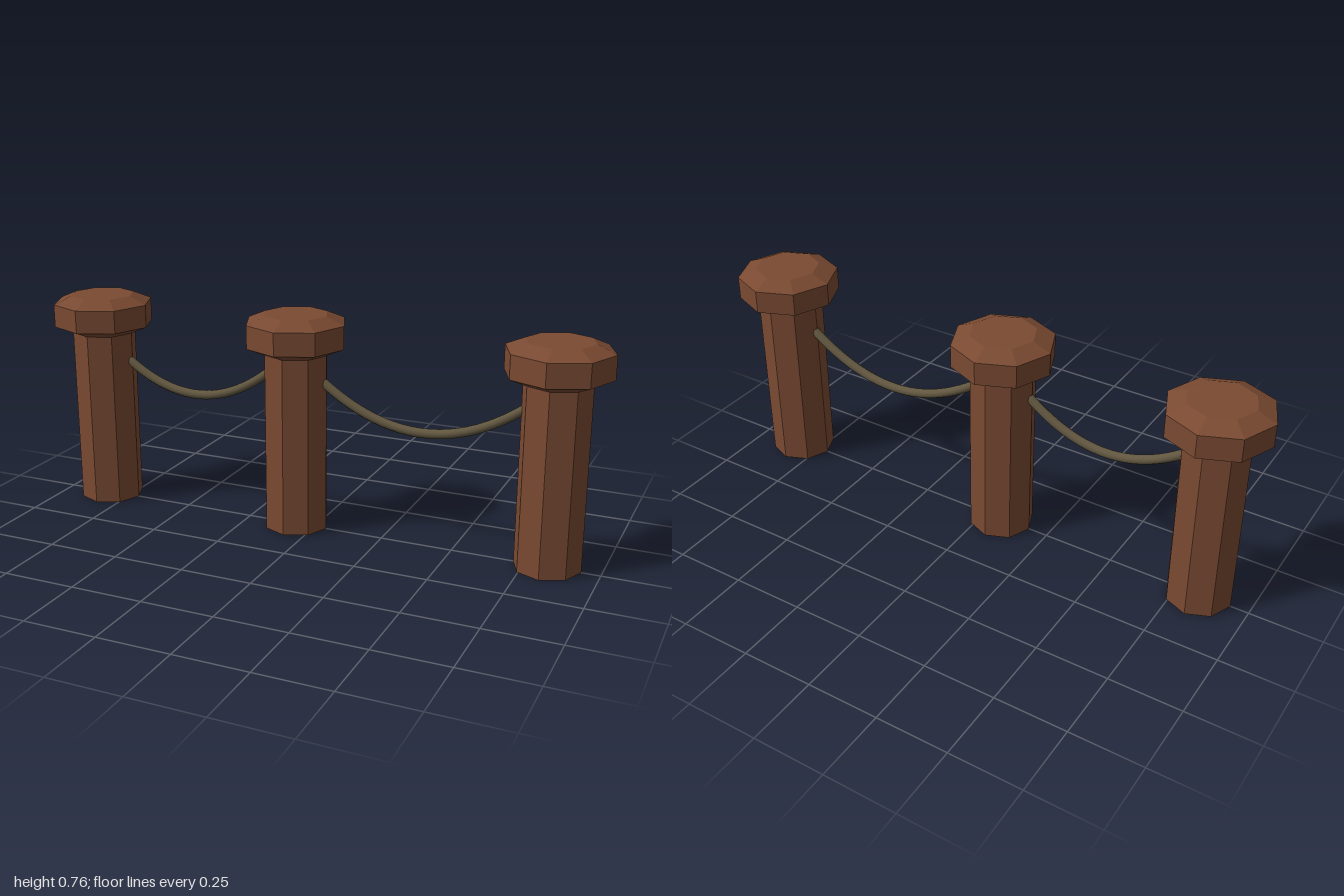
import * as THREE from 'three';

const POST_X = [-0.825, -0.068, 0.825];
const SHAFT_R = 0.112;
const CAP_R = 0.175;

export function createModel() {
  const model = new THREE.Group();
  model.name = 'ropeFence';
  const wood = new THREE.MeshStandardMaterial({ color: 0x7a4a32, flatShading: true });
  const ropeMaterial = new THREE.MeshStandardMaterial({ color: 0x625740 });

  // Octagonal shaft, corners on the x and z axes
  const shaftGeometry = new THREE.CylinderGeometry(SHAFT_R, SHAFT_R, 0.63, 8);
  shaftGeometry.translate(0, 0.315, 0);

  // Octagonal cap, bevelled above and below
  const capProfile = [
    [0, 0.623], [SHAFT_R, 0.623], [CAP_R, 0.65], [CAP_R, 0.73], [SHAFT_R, 0.757], [0, 0.757],
  ].map(([r, y]) => new THREE.Vector2(r, y));
  const capGeometry = new THREE.LatheGeometry(capProfile, 8);

  for (const x of POST_X) {
    const post = new THREE.Group();
    post.name = 'post';
    post.position.x = x;
    const shaft = new THREE.Mesh(shaftGeometry, wood);
    shaft.name = 'postShaft';
    const cap = new THREE.Mesh(capGeometry, wood);
    cap.name = 'postCap';
    post.add(shaft, cap);
    model.add(post);
  }

  // Sagging rope whose ends sink into the corners of two neighbouring posts
  function addRope(name, fromX, toX, startY, endY, lowY) {
    const x0 = fromX + SHAFT_R - 0.025;
    const x1 = toX - SHAFT_R + 0.025;
    const curve = new THREE.QuadraticBezierCurve3(
      new THREE.Vector3(x0, startY, 0),
      new THREE.Vector3((x0 + x1) / 2, 2 * lowY - (startY + endY) / 2, 0),
      new THREE.Vector3(x1, endY, 0),
    );
    const rope = new THREE.Mesh(new THREE.TubeGeometry(curve, 24, 0.016, 10), ropeMaterial);
    rope.name = name;
    model.add(rope);
  }
  addRope('rightRope', POST_X[0], POST_X[1], 0.535, 0.555, 0.428);
  addRope('leftRope', POST_X[1], POST_X[2], 0.54, 0.535, 0.398);

  return model;
}
